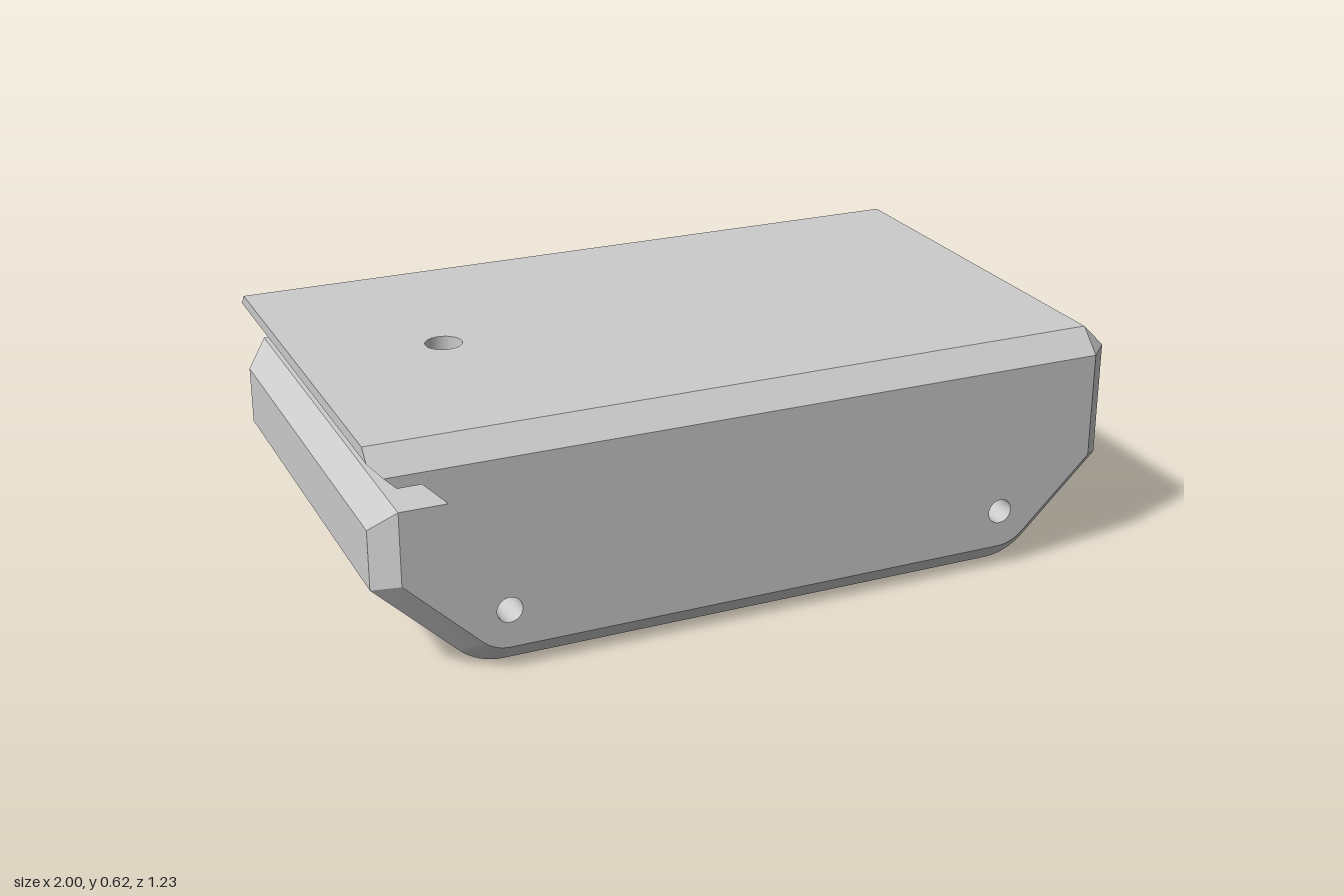
import * as THREE from 'three';
import { toCreasedNormals } from 'three/addons/utils/BufferGeometryUtils.js';

const BEVEL = 0.06, HALF = 0.555, TOP = 0.615;
const PIN = { x: 0.678, y: 0.16, r: 0.033 };
const SOCKET = { x: -0.62, r: 0.048, depth: 0.3 };

// Side outline, counter-clockwise, with its outer edges drawn in by t
function outline(t) {
  const tip = -1 + Math.max(0, t - 0.03);
  const kink = 0.25 + t * Math.tan(Math.PI / 8);
  const pts = [
    // lid lip, then the slot
    [tip, TOP - t], [tip, Math.min(TOP - 0.03, TOP - t)],
    [-0.94, 0.525], [-0.88, 0.525], [-0.82, 0.465], [-0.94, 0.465],
    // lower left end
    [-1 + t, 0.405 + t], [-1 + t, kink],
  ];
  // rounded bottom corners, concentric with the pin holes
  const r = PIN.y - t, n = 8;
  for (const [side, from] of [[-1, 1.25], [1, 1.5]])
    for (let i = 0; i <= n; i++) {
      const a = Math.PI * (from + 0.25 * i / n);
      pts.push([side * PIN.x + r * Math.cos(a), PIN.y + r * Math.sin(a)]);
    }
  // right end and its top bevel
  pts.push([1 - t, kink], [1 - t, TOP - BEVEL], [1 - BEVEL, TOP - t]);
  return pts.map(p => new THREE.Vector2(...p));
}

// Skin lofted between sections, leaving out the flat top
function loftSkin() {
  const levels = [[-1, 0.06], [-1, 0.03], [-1, 0], [1, 0], [1, 0.03], [1, 0.06]];
  const rings = levels.map(([s, t]) => outline(t).map(p => new THREE.Vector3(p.x, p.y, s * (HALF + t))));
  const pos = [];
  const tri = (...v) => {
    if (new THREE.Triangle(...v).getArea() > 1e-7) v.forEach(p => pos.push(p.x, p.y, p.z));
  };
  for (let k = 0; k < rings.length - 1; k++) {
    const a = rings[k], b = rings[k + 1], n = a.length;
    for (let i = 0; i < n; i++) {
      if (k === 2 && i === n - 1) continue;
      const j = (i + 1) % n;
      tri(a[i], a[j], b[j]);
      tri(a[i], b[j], b[i]);
    }
  }
  const geo = new THREE.BufferGeometry();
  geo.setAttribute('position', new THREE.Float32BufferAttribute(pos, 3));
  return toCreasedNormals(geo, 0.3);
}

const circle = (x, y, r) => new THREE.Path().absarc(x, y, r, 0, Math.PI * 2, true);

export function createModel() {
  const group = new THREE.Group();
  const solid = new THREE.MeshStandardMaterial({ color: 0xcccccc });
  const open = new THREE.MeshStandardMaterial({ color: 0xcccccc, side: THREE.DoubleSide });
  const add = (name, geo, mat = solid) => {
    const mesh = new THREE.Mesh(geo, mat);
    mesh.name = name;
    group.add(mesh);
    return mesh;
  };

  add('bodyShell', loftSkin());

  // Flat side faces with pin holes
  const pts = outline(BEVEL).filter((p, i, all) => i === 0 || p.distanceTo(all[i - 1]) > 1e-5);
  const side = new THREE.Shape(pts);
  for (const s of [-1, 1]) side.holes.push(circle(s * PIN.x, PIN.y, PIN.r));
  const z = HALF + BEVEL;
  add('frontFace', new THREE.ShapeGeometry(side, 16).translate(0, 0, z));
  const back = new THREE.ShapeGeometry(side, 16).scale(1, 1, -1).translate(0, 0, -z);
  back.setIndex(Array.from(back.index.array).reverse());
  back.computeVertexNormals();
  add('backFace', back);

  // Flat top with the socket opening
  const lid = new THREE.Shape([[-1, -HALF], [1 - BEVEL, -HALF], [1 - BEVEL, HALF], [-1, HALF]]
    .map(p => new THREE.Vector2(...p)));
  lid.holes.push(circle(SOCKET.x, 0, SOCKET.r));
  add('topFace', new THREE.ShapeGeometry(lid, 16).rotateX(-Math.PI / 2).translate(0, TOP, 0));

  // Pin holes running right through
  for (const s of [-1, 1])
    add(s < 0 ? 'rightPinHole' : 'leftPinHole',
      new THREE.CylinderGeometry(PIN.r, PIN.r, 2 * z, 32, 1, true).rotateX(Math.PI / 2), open)
      .position.set(s * PIN.x, PIN.y, 0);

  // Blind socket in the top
  add('socketWall', new THREE.CylinderGeometry(SOCKET.r, SOCKET.r, SOCKET.depth, 32, 1, true), open)
    .position.set(SOCKET.x, TOP - SOCKET.depth / 2, 0);
  add('socketFloor', new THREE.CircleGeometry(SOCKET.r, 32).rotateX(-Math.PI / 2))
    .position.set(SOCKET.x, TOP - SOCKET.depth, 0);

  return group;
}
